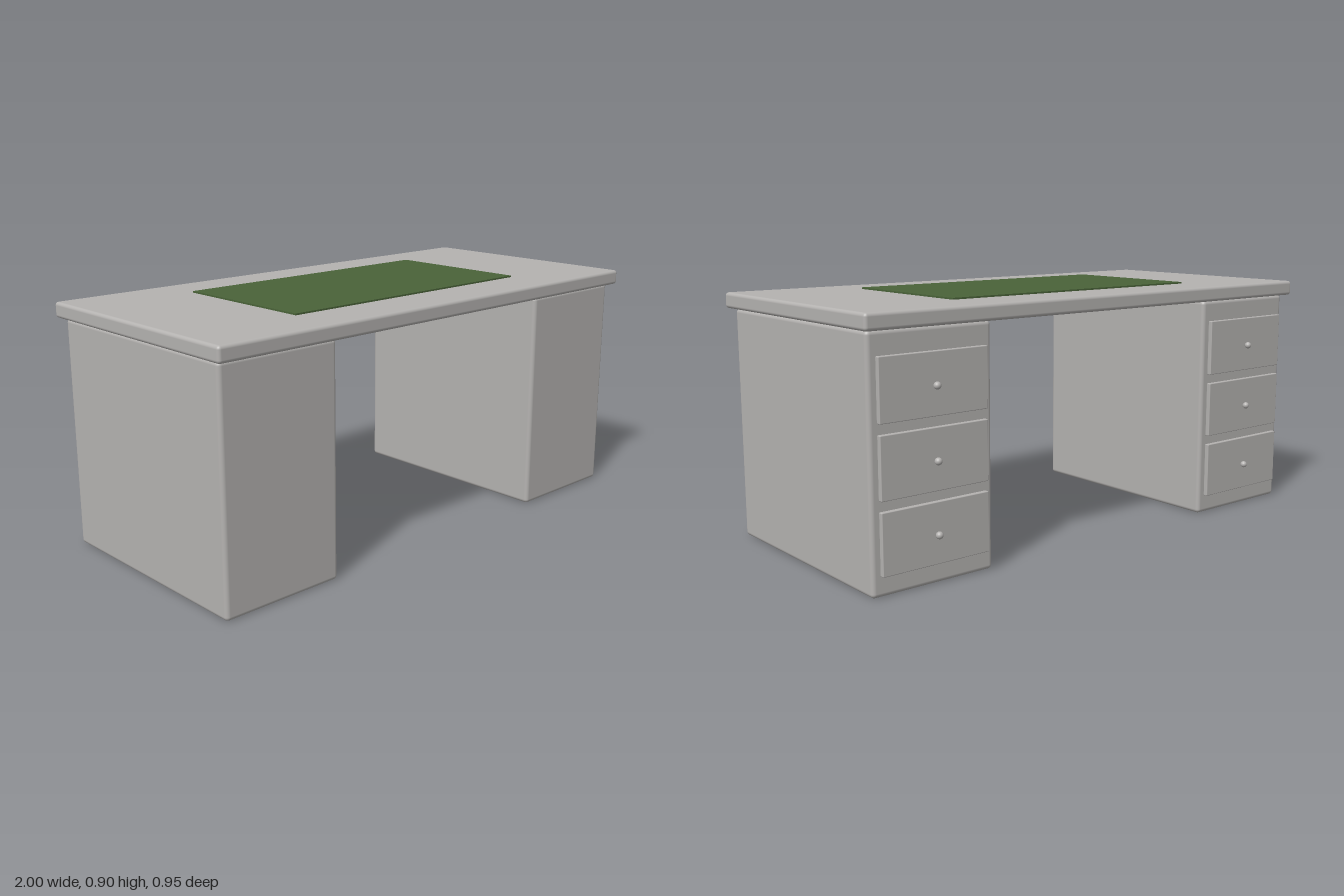
import * as THREE from 'three';
import { RoundedBoxGeometry } from 'three/addons/geometries/RoundedBoxGeometry.js';

export function createModel() {
  const desk = new THREE.Group();
  desk.name = 'desk';
  const grey = new THREE.MeshStandardMaterial({ color: 0xb4b2b0 });
  grey.name = 'grey paint';
  const green = new THREE.MeshStandardMaterial({ color: 0x4a6339 });
  green.name = 'green mat';

  function add(parent, name, geometry, material, x, y, z) {
    const mesh = new THREE.Mesh(geometry, material);
    mesh.name = name;
    mesh.position.set(x, y, z);
    parent.add(mesh);
  }

  // Table top and the writing mat lying on it
  add(desk, 'tableTop', new RoundedBoxGeometry(2, 0.056, 0.945, 4, 0.012), grey, 0, 0.863, 0.0045);
  add(desk, 'writingMat', new THREE.BoxGeometry(1.1, 0.008, 0.57), green, 0, 0.893, 0.0035);

  // Two pedestals, each with three drawers and knobs on the -z side
  const pedestalGeo = new RoundedBoxGeometry(0.468, 0.835, 0.878, 4, 0.015);
  const drawerGeo = new RoundedBoxGeometry(0.41, 0.206, 0.018, 2, 0.003);
  const knobGeo = new THREE.SphereGeometry(0.0125, 24, 16);
  for (const side of [1, -1]) {
    const pedestal = new THREE.Group();
    pedestal.name = side > 0 ? 'leftPedestal' : 'rightPedestal';
    pedestal.position.x = side * 0.744;
    desk.add(pedestal);
    add(pedestal, 'cabinet', pedestalGeo, grey, 0, 0.4175, 0.0035);
    for (let i = 0; i < 3; i++) {
      const y = 0.173 + i * 0.2405;
      add(pedestal, 'drawerFront', drawerGeo, grey, 0, y, -0.445);
      add(pedestal, 'drawerKnob', knobGeo, grey, 0, y - 0.004, -0.4645);
    }
  }
  return desk;
}
